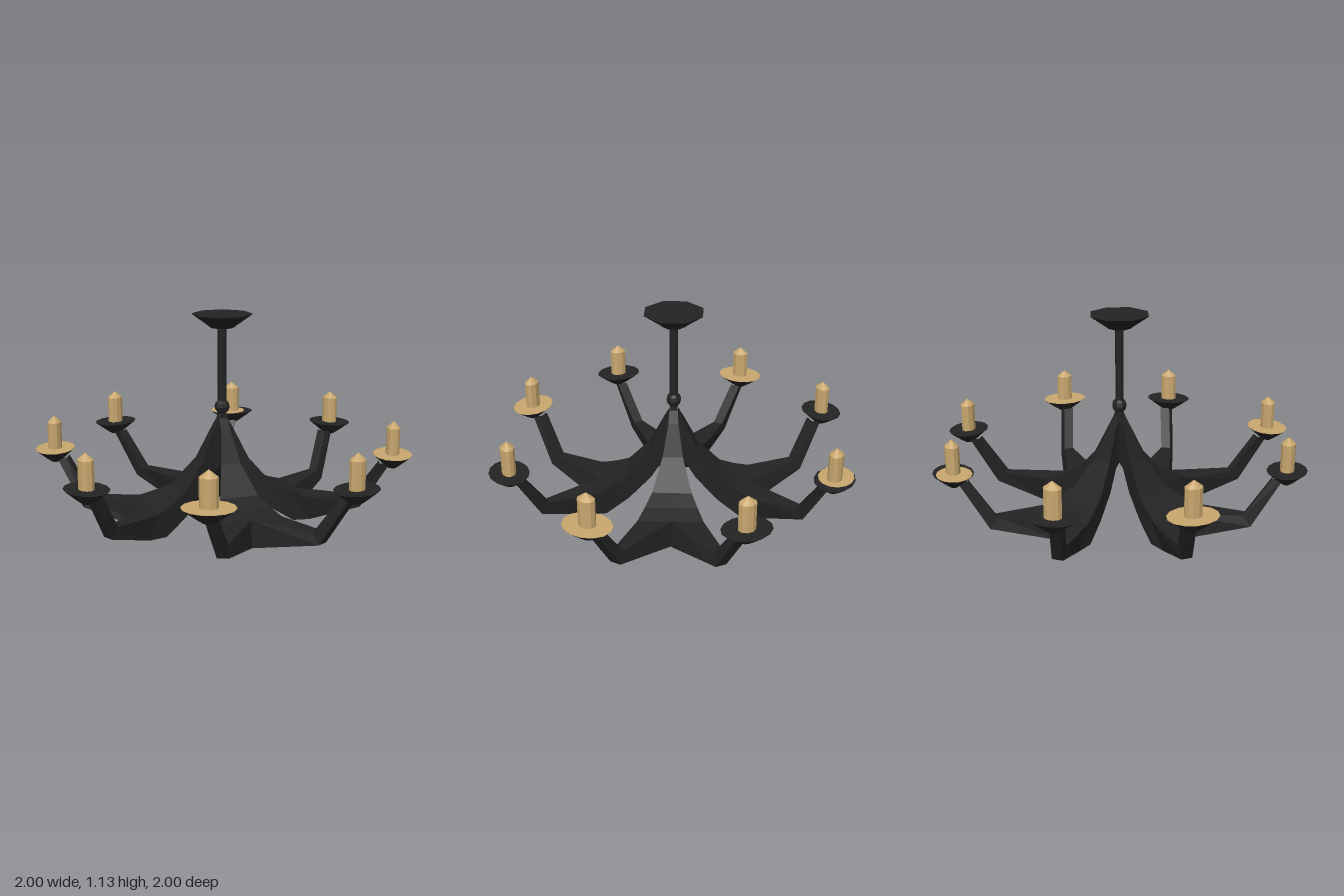
import * as THREE from 'three';

// Flat-shaded tube through rings of corners [u, y, v], counterclockwise seen from the far end
function loft(rings) {
  const pos = [];
  const n = rings[0].length;
  for (let r = 0; r < rings.length - 1; r++) {
    const a = rings[r], b = rings[r + 1];
    for (let i = 0; i < n; i++) {
      const j = (i + 1) % n;
      pos.push(...a[i], ...a[j], ...b[j], ...a[i], ...b[j], ...b[i]);
    }
  }
  const g = new THREE.BufferGeometry();
  g.setAttribute('position', new THREE.Float32BufferAttribute(pos, 3));
  g.computeVertexNormals();
  return g;
}

export function createModel() {
  const iron = new THREE.MeshStandardMaterial({ color: 0x232323, flatShading: true });
  iron.name = 'black iron';
  const wax = new THREE.MeshStandardMaterial({ color: 0xc8a76e, flatShading: true });
  wax.name = 'tan wax';

  const model = new THREE.Group();
  model.name = 'chandelier';
  const add = (parent, name, geometry, material, y = 0) => {
    const m = new THREE.Mesh(geometry, material);
    m.name = name;
    m.position.y = y;
    parent.add(m);
    return m;
  };

  // Ceiling plate, hanging rod and knuckle
  add(model, 'ceilingPlate', new THREE.CylinderGeometry(0.16, 0.075, 0.06, 8), iron, 1.1);
  add(model, 'plateCollar', new THREE.CylinderGeometry(0.075, 0.065, 0.012, 8), iron, 1.066);
  add(model, 'rod', new THREE.CylinderGeometry(0.023, 0.023, 0.56, 8), iron, 0.8);
  add(model, 'knuckle', new THREE.SphereGeometry(0.04, 8, 6), iron, 0.64);

  // Branch trunk: top u, y, half width, then bottom u, y, half width
  const trunk = [
    [0.0, 0.62, 0.02, 0.0, 0.33, 0.012],
    [0.055, 0.52, 0.026, 0.045, 0.3, 0.02],
    [0.13, 0.36, 0.054, 0.12, 0.19, 0.05],
    [0.25, 0.215, 0.104, 0.24, 0.08, 0.095],
    [0.33, 0.175, 0.137, 0.36, 0.006, 0.14],
    [0.41, 0.145, 0.17, 0.45, 0.003, 0.15],
  ];
  const trunkGeo = loft(trunk.map(([tu, ty, tv, bu, by, bv]) =>
    [[bu, by, bv], [bu, by, -bv], [tu, ty, -tv], [tu, ty, tv]]));

  // Arm: outer bottom, inner bottom, inner top, outer top
  const armRings = [
    [[0.45, 0.003, 0.15], [0.43, 0.003, 0], [0.41, 0.145, 0], [0.41, 0.145, 0.17]],
    [[0.685, 0.09, 0.284], [0.71, 0.09, 0.232], [0.67, 0.145, 0.218], [0.645, 0.145, 0.267]],
    [[0.795, 0.35, 0.39], [0.82, 0.35, 0.338], [0.77, 0.35, 0.318], [0.745, 0.35, 0.367]],
  ];
  const armGeo = {
    1: loft(armRings),
    '-1': loft(armRings.map(r => r.map(([u, y, v]) => [u, y, -v]).reverse())),
  };

  // Oval cup and candle, narrow along the arm and wide across it
  const oval = (g) => g.scale(0.8, 1, 1);
  const cupGeo = oval(new THREE.CylinderGeometry(0.128, 0.06, 0.05, 14));
  const footGeo = oval(new THREE.CylinderGeometry(0.06, 0.03, 0.02, 14));
  const discGeo = oval(new THREE.CylinderGeometry(0.128, 0.128, 0.003, 14));
  const candleGeo = oval(new THREE.CylinderGeometry(0.045, 0.045, 0.145, 10));
  const tipGeo = oval(new THREE.ConeGeometry(0.045, 0.035, 10));

  // Four forked branches around the rod
  for (let k = 0; k < 4; k++) {
    const branch = new THREE.Group();
    branch.name = 'branch';
    branch.rotation.y = -(Math.PI / 8 + k * Math.PI / 2);
    model.add(branch);
    add(branch, 'trunk', trunkGeo, iron);

    for (const side of [1, -1]) {
      add(branch, 'arm', armGeo[side], iron);
      const holder = new THREE.Group();
      holder.name = 'candleHolder';
      holder.position.set(0.82, 0, side * 0.37);
      holder.rotation.y = -side * 0.425;
      branch.add(holder);
      add(holder, 'cup', cupGeo, iron, 0.37);
      add(holder, 'cupFoot', footGeo, iron, 0.335);
      add(holder, 'candle', candleGeo, wax, 0.4675);
      add(holder, 'candleTip', tipGeo, wax, 0.5575);

      // Wax plate on one cup of each branch
      if (side === 1) {
        const disc = add(holder, 'waxPlate', discGeo, wax, 0.396);
        if (k === 2) {
          disc.scale.set(0.88, 1, 0.8);
          disc.position.z = -0.024;
        }
      }
    }
  }
  return model;
}
